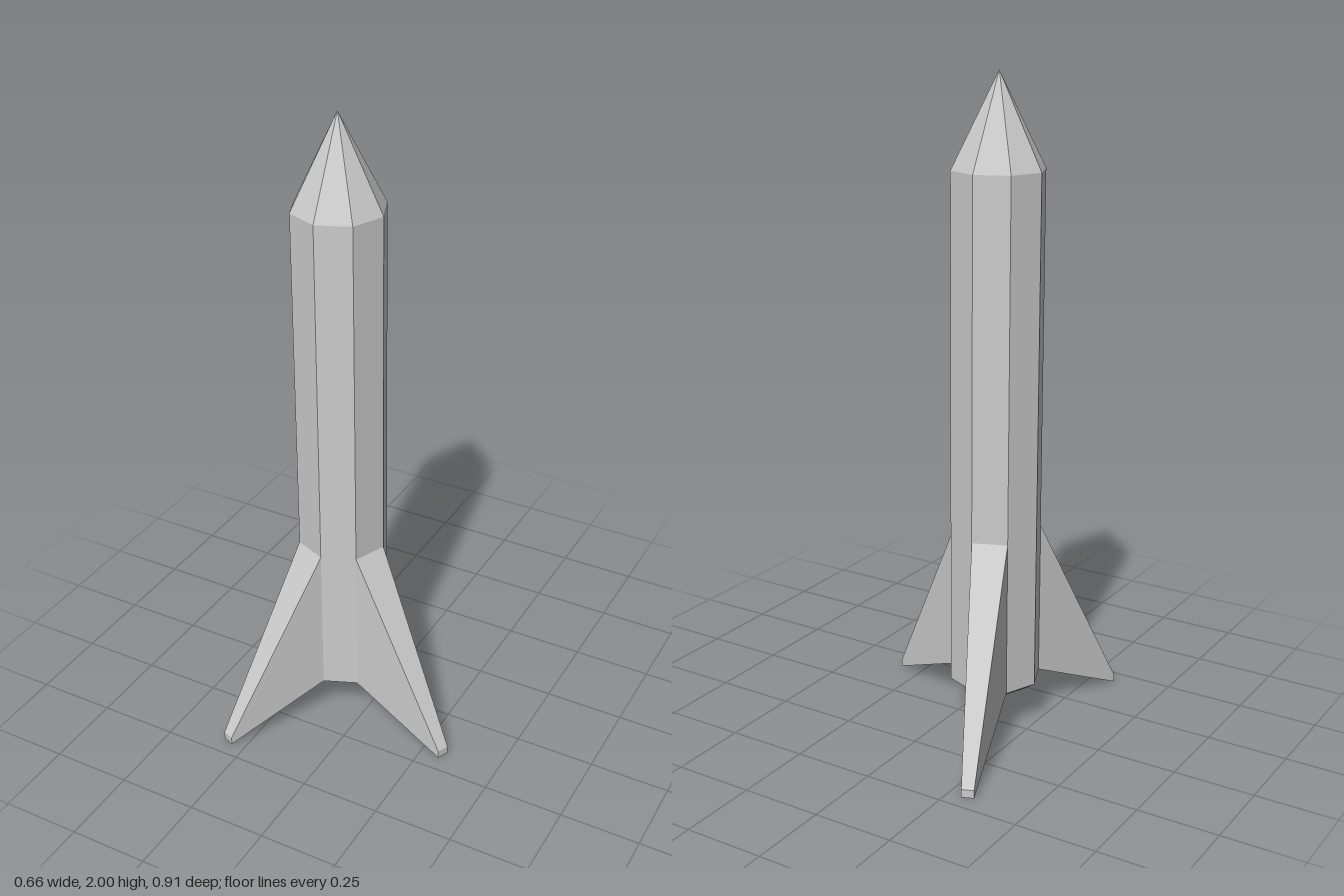
import * as THREE from 'three';

const AXIS_X = -0.109, AXIS_Z = 0.043, RADIUS = 0.142, SIDES = 8;
const material = new THREE.MeshStandardMaterial({ color: 0xcccccc, flatShading: true });

function addMesh(group, name, geometry) {
  const mesh = new THREE.Mesh(geometry, material);
  mesh.name = name;
  group.add(mesh);
  return mesh;
}

// Eight-sided turned part on the rocket axis; profile runs bottom to top
function addTurned(group, name, profile) {
  const points = profile.map(([r, y]) => new THREE.Vector2(r, y));
  const mesh = addMesh(group, name, new THREE.LatheGeometry(points, SIDES));
  mesh.position.set(AXIS_X, 0, AXIS_Z);
}

// Tapered fin: a box whose corners move to a tall root and a small, low tip
function finGeometry({ root, tip }) {
  const geometry = new THREE.BoxGeometry(1, 1, 1);
  const p = geometry.attributes.position;
  for (let i = 0; i < p.count; i++) {
    const side = p.getX(i) > 0 ? 1 : 0;
    const top = p.getY(i) > 0;
    const outer = p.getZ(i) > 0;
    const [x, z] = (outer ? tip : root)[side];
    const y = outer ? (top ? 0.025 : 0) : (top ? 0.62 : 0.135);
    p.setXYZ(i, x, y, z);
  }
  geometry.computeVertexNormals();
  return geometry;
}

// Point on the body's outline at a multiple of 45 degrees
function corner(step) {
  const a = step * Math.PI / 4;
  return [AXIS_X + RADIUS * Math.cos(a), AXIS_Z + RADIUS * Math.sin(a)];
}

export function createModel() {
  const rocket = new THREE.Group();
  rocket.name = 'rocket';

  addTurned(rocket, 'body', [[RADIUS, 0.135], [RADIUS, 1.72]]);
  addTurned(rocket, 'noseCone', [[RADIUS, 1.72], [0, 2]]);
  // Chamfered tail with a hollow exhaust opening
  addTurned(rocket, 'exhaust', [[0, 0.35], [0.09, 0.35], [0.09, 0.11], [0.105, 0.11], [RADIUS, 0.135]]);

  // Each fin grows from one flat of the body
  const fins = [
    { name: 'leftFin', root: [corner(1), corner(0)], tip: [[0.313, 0.2], [0.328, 0.165]] },
    { name: 'frontFin', root: [corner(3), corner(2)], tip: [[-0.33, 0.44], [-0.295, 0.453]] },
    { name: 'backFin', root: [corner(6), corner(5)], tip: [[-0.295, -0.455], [-0.33, -0.441]] },
  ];
  for (const fin of fins) addMesh(rocket, fin.name, finGeometry(fin));

  return rocket;
}
